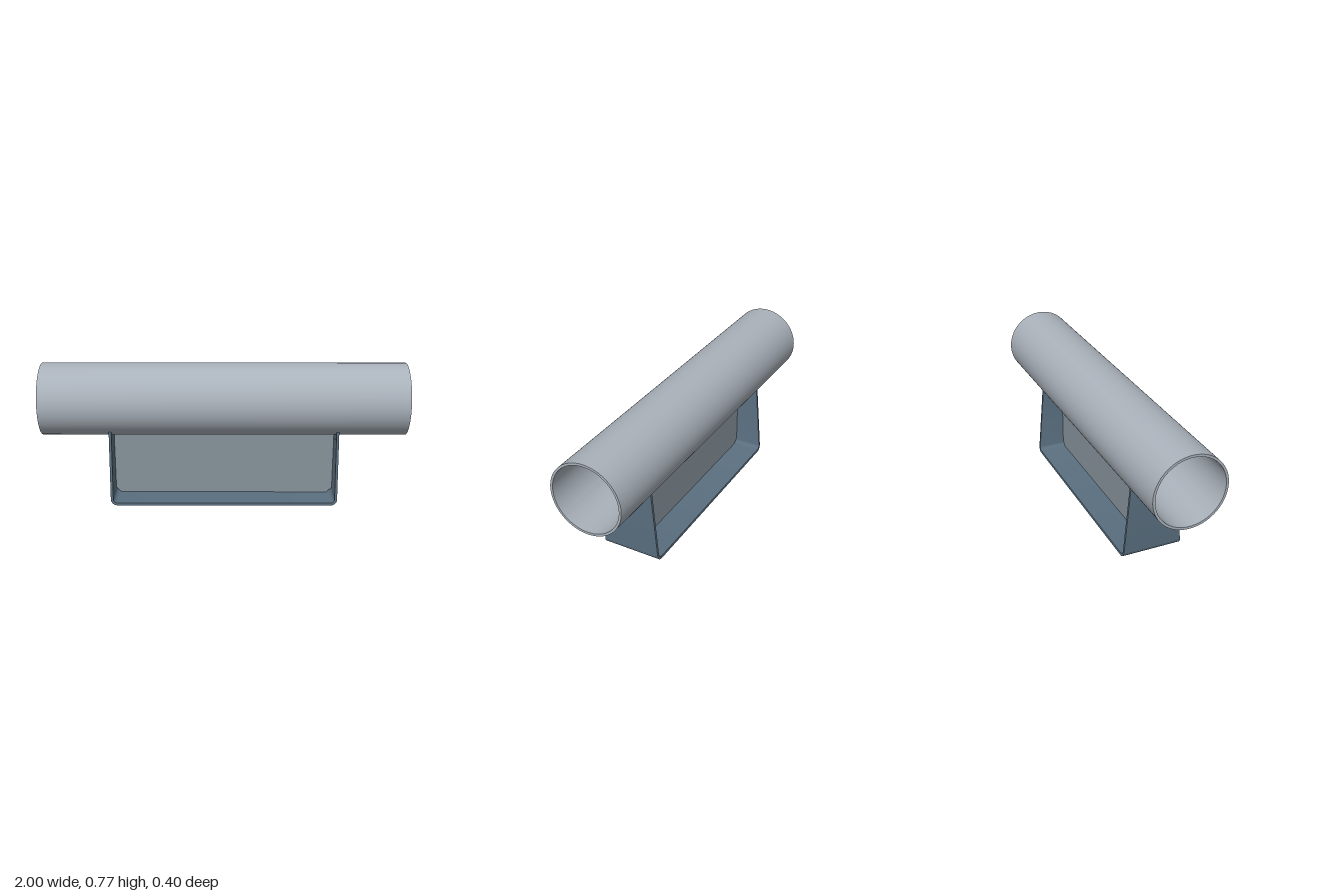
import * as THREE from 'three';
import { toCreasedNormals } from 'three/addons/utils/BufferGeometryUtils.js';

const PIPE_Y = 0.572, PIPE_R = 0.199, BORE_R = 0.186;
const LEG_X = 0.63, SHEET = 0.014, BEND = 0.035;
const BASE_HALF = 0.166, TOP_HALF = 0.129;

// height of the pipe's underside at depth z
const saddleY = (z) => PIPE_Y - Math.sqrt(PIPE_R ** 2 - z ** 2);
const TOP_Y = saddleY(TOP_HALF);

function part(name, geometry, color) {
  const mesh = new THREE.Mesh(
    toCreasedNormals(geometry, 0.6),
    new THREE.MeshStandardMaterial({ color })
  );
  mesh.name = name;
  return mesh;
}

// hollow tube lying along x
function pipeGeometry() {
  const ring = new THREE.Shape().absarc(0, 0, PIPE_R, 0, Math.PI * 2);
  ring.holes.push(new THREE.Path().absarc(0, 0, BORE_R, 0, Math.PI * 2, true));
  return new THREE.ExtrudeGeometry(ring, { depth: 2, curveSegments: 48, bevelEnabled: false })
    .translate(0, 0, -1).rotateY(Math.PI / 2).translate(0, PIPE_Y, 0);
}

// bent sheet: U profile, tapered in depth towards the top, legs cut to the pipe
function cradleGeometry() {
  const inX = LEG_X - SHEET, c = LEG_X - BEND, r = BEND - SHEET, P = Math.PI;
  const u = new THREE.Shape();
  u.moveTo(-LEG_X, TOP_Y);
  u.lineTo(-LEG_X, BEND);
  u.absarc(-c, BEND, BEND, P, 1.5 * P);
  u.absarc(c, BEND, BEND, 1.5 * P, 2 * P);
  u.lineTo(LEG_X, TOP_Y);
  u.lineTo(inX, TOP_Y);
  u.lineTo(inX, BEND);
  u.absarc(c, BEND, r, 2 * P, 1.5 * P, true);
  u.absarc(-c, BEND, r, 1.5 * P, P, true);
  u.lineTo(-inX, TOP_Y);
  u.closePath();
  const geometry = new THREE.ExtrudeGeometry(u, { depth: 2, steps: 20, curveSegments: 8, bevelEnabled: false });
  const pos = geometry.attributes.position;
  for (let i = 0; i < pos.count; i++) {
    const y = pos.getY(i);
    const half = THREE.MathUtils.lerp(BASE_HALF, TOP_HALF, y / TOP_Y);
    const z = (pos.getZ(i) - 1) * half;
    pos.setZ(i, z);
    if (y > TOP_Y - 0.001) pos.setY(i, saddleY(z));
  }
  return geometry;
}

// upright plate between the legs, lower corners clipped clear of the bends
function webGeometry() {
  const x = LEG_X - SHEET, clip = 0.028, top = PIPE_Y - PIPE_R + 0.002, thick = 0.014;
  const plate = new THREE.Shape([
    [-x + clip, SHEET], [x - clip, SHEET], [x, SHEET + clip],
    [x, top], [-x, top], [-x, SHEET + clip],
  ].map(([a, b]) => new THREE.Vector2(a, b)));
  return new THREE.ExtrudeGeometry(plate, { depth: thick, bevelEnabled: false })
    .translate(0, 0, -thick / 2);
}

export function createModel() {
  const group = new THREE.Group();
  group.name = 'pipeSupport';
  group.add(
    part('pipe', pipeGeometry(), 0xa9b1ba),
    part('cradle', cradleGeometry(), 0x5a6f80),
    part('web', webGeometry(), 0x87939b)
  );
  return group;
}
